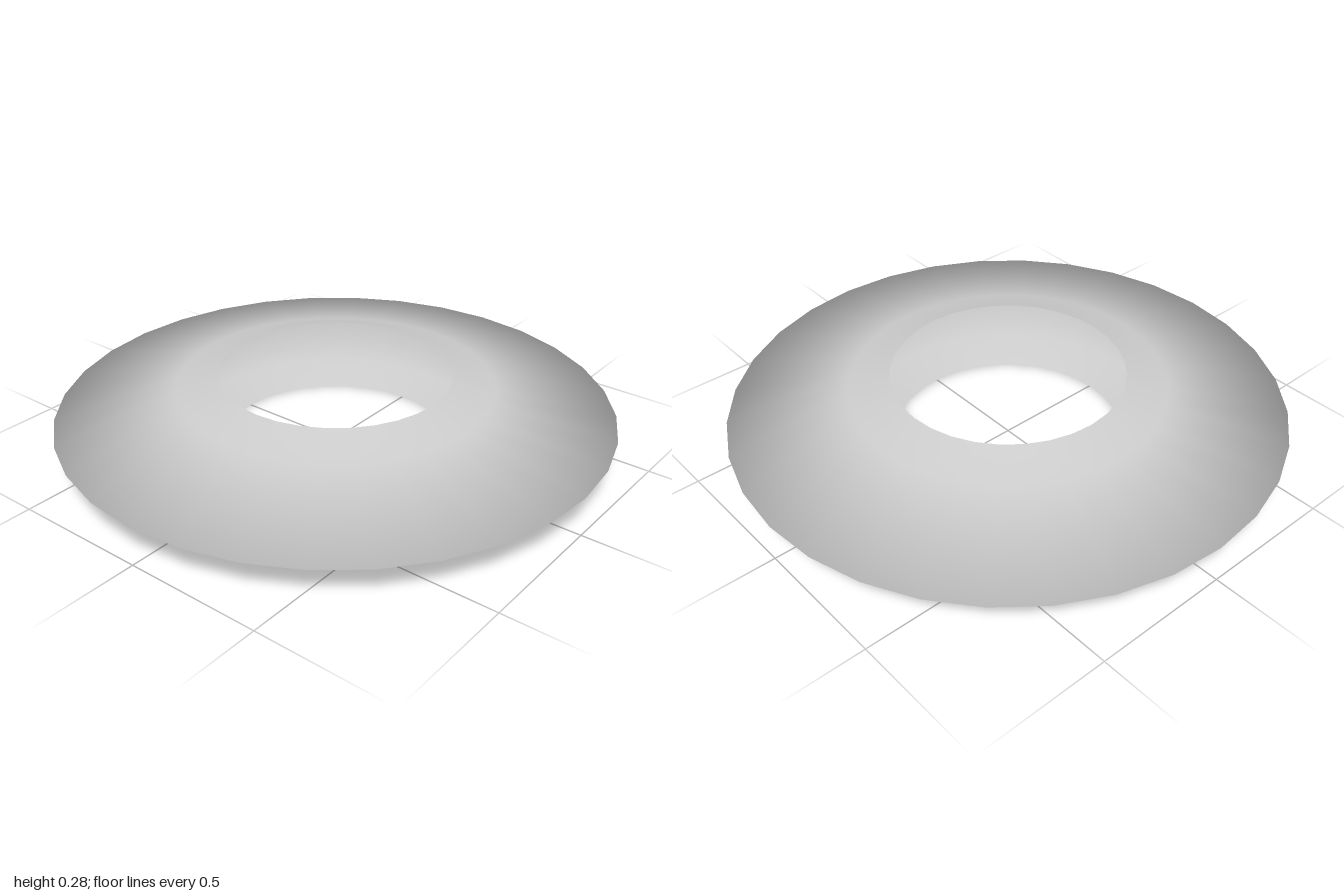
import * as THREE from 'three';

export function createModel() {
  const group = new THREE.Group();
  const material = new THREE.MeshStandardMaterial({ color: 0xcccccc, side: THREE.DoubleSide });

  // Hollow lens-shaped ring, open at the centre hole: profile from lower to upper rim
  const profile = [
    [0.42, 0], [0.57, 0.046], [1, 0.139], [0.57, 0.232], [0.42, 0.278],
  ].map(([r, y]) => new THREE.Vector2(r, y));

  const shell = new THREE.Mesh(new THREE.LatheGeometry(profile, 32), material);
  shell.name = 'ringShell';
  group.add(shell);
  return group;
}
